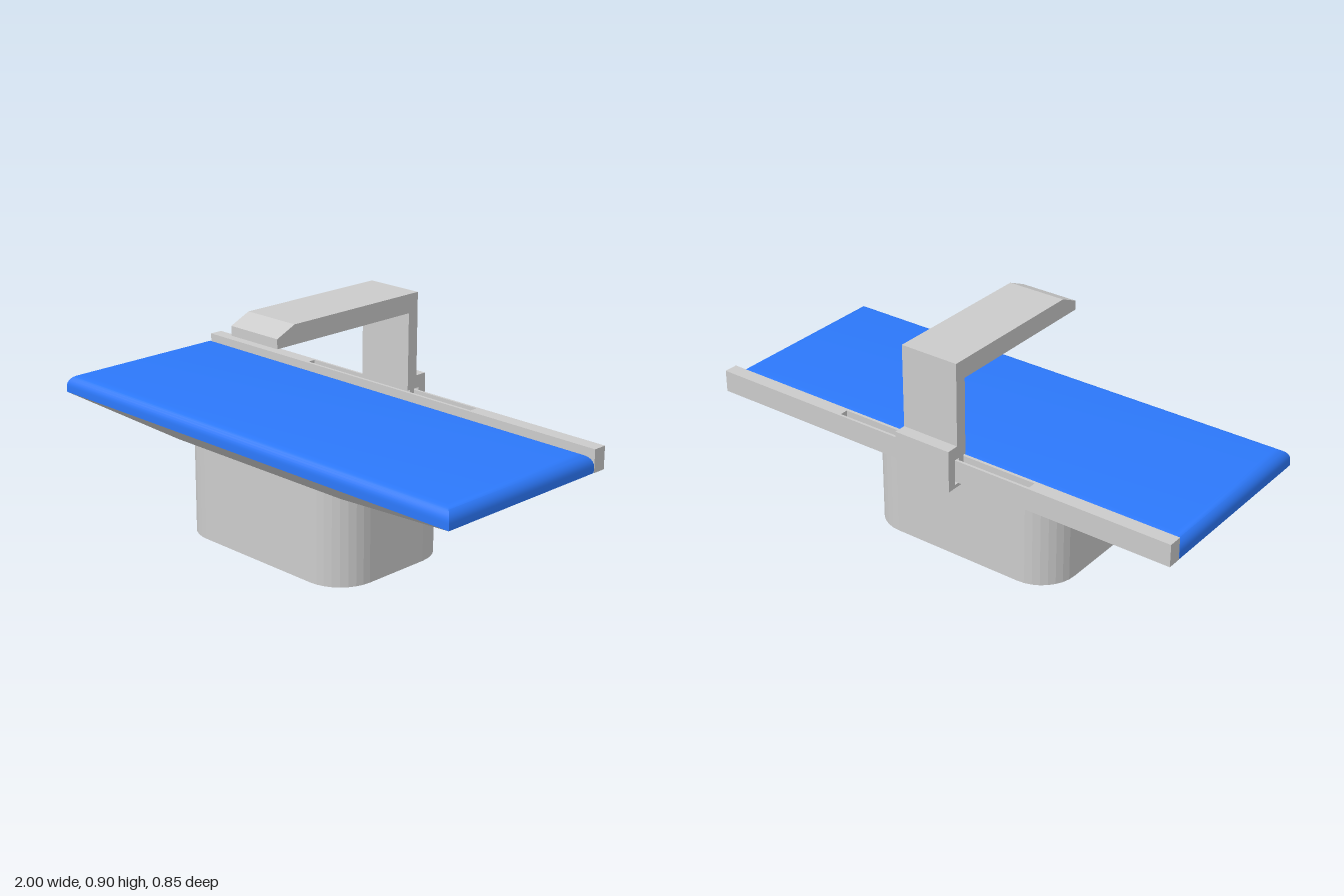
import * as THREE from 'three';
import { toCreasedNormals } from 'three/addons/utils/BufferGeometryUtils.js';

const grey = new THREE.MeshStandardMaterial({ color: 0xcccccc });
const blue = new THREE.MeshStandardMaterial({ color: 0x2c78fa });

// Rectangular loft through rings [halfX, zBack, zFront, y], bottom to top, with caps.
function rectLoft(rings, crease) {
  const pos = [], idx = [];
  for (const [x, z0, z1, y] of rings) pos.push(-x, y, z1, x, y, z1, x, y, z0, -x, y, z0);
  for (let r = 0; r < rings.length - 1; r++) {
    for (let i = 0; i < 4; i++) {
      const a = r * 4 + i, b = r * 4 + (i + 1) % 4;
      idx.push(a, b, b + 4, a, b + 4, a + 4);
    }
  }
  const t = (rings.length - 1) * 4;
  idx.push(0, 2, 1, 0, 3, 2, t, t + 1, t + 2, t, t + 2, t + 3);
  const geo = new THREE.BufferGeometry();
  geo.setAttribute('position', new THREE.Float32BufferAttribute(pos, 3));
  geo.setIndex(idx);
  return toCreasedNormals(geo, crease);
}

// Plan outline (x, -z) extruded upwards from y0 to y1.
function extrudeUp(shape, y0, y1) {
  const geo = new THREE.ExtrudeGeometry(shape, { depth: y1 - y0, bevelEnabled: false, curveSegments: 4 });
  return geo.rotateX(-Math.PI / 2).translate(0, y0, 0);
}

const rectPoints = (x, z0, z1) =>
  [[-x, -z1], [x, -z1], [x, -z0], [-x, -z0]].map(([a, b]) => new THREE.Vector2(a, b));

function box(x, y0, y1, z0, z1) {
  return new THREE.BoxGeometry(2 * x, y1 - y0, z1 - z0).translate(0, (y0 + y1) / 2, (z0 + z1) / 2);
}

export function createModel() {
  const model = new THREE.Group();
  model.name = 'table';
  const add = (name, geo, mat = grey, parent = model) => {
    const mesh = new THREE.Mesh(geo, mat);
    mesh.name = name;
    parent.add(mesh);
  };

  // Pedestal: rectangle with faceted round corners
  const hx = 0.43, zb = -0.235, zf = 0.34, r = 0.15;
  const plan = new THREE.Shape();
  plan.absarc(hx - r, -zf + r, r, -Math.PI / 2, 0);
  plan.absarc(hx - r, -zb - r, r, 0, Math.PI / 2);
  plan.absarc(-hx + r, -zb - r, r, Math.PI / 2, Math.PI);
  plan.absarc(-hx + r, -zf + r, r, Math.PI, Math.PI * 1.5);
  plan.closePath();
  add('pedestal', extrudeUp(plan, 0, 0.362));

  // Flared underside between the pedestal and the cushion
  add('underside', rectLoft([[hx, zb, zf, 0.36], [1, -0.322, 0.425, 0.433]], 0.1));

  // Cushion with rounded upper edges
  const rings = [[1, -0.322, 0.425, 0.433]], er = 0.046, steps = 8;
  for (let i = 0; i <= steps; i++) {
    const a = (i / steps) * Math.PI / 2, inset = er * (1 - Math.cos(a));
    rings.push([1 - inset, -0.322 + inset, 0.425 - inset, 0.503 - er + er * Math.sin(a)]);
  }
  add('cushion', rectLoft(rings, 0.7), blue);

  // Rear rail with a long slot in its top
  const rail = new THREE.Group();
  rail.name = 'rearRail';
  model.add(rail);
  const railTop = new THREE.Shape(rectPoints(1, -0.379, -0.324));
  railTop.holes.push(new THREE.Path(rectPoints(0.425, -0.369, -0.336).reverse()));
  add('railBody', box(1, 0.432, 0.475, -0.379, -0.324), grey, rail);
  add('slottedRailTop', extrudeUp(railTop, 0.475, 0.519), grey, rail);

  // Overhanging arm and the clamp that hooks round the rail: side profile (z, y)
  const arm = new THREE.Group();
  arm.name = 'slidingArm';
  model.add(arm);
  const halfWidth = 0.119;
  const profile = [
    [0.339, 0.827], [0.339, 0.863], [0.256, 0.9], [-0.375, 0.9], [-0.375, 0.576],
    [-0.424, 0.576], [-0.424, 0.412], [-0.338, 0.412], [-0.338, 0.426], [-0.388, 0.426],
    [-0.388, 0.526], [-0.328, 0.526], [-0.328, 0.827],
  ].map(([z, y]) => new THREE.Vector2(z, y));
  const armGeo = new THREE.ExtrudeGeometry(new THREE.Shape(profile), { depth: 2 * halfWidth, bevelEnabled: false });
  add('armAndClamp', armGeo.rotateY(-Math.PI / 2).translate(halfWidth, 0, 0), grey, arm);
  add('slotTongue', box(halfWidth, 0.485, 0.527, -0.364, -0.34), grey, arm);

  return model;
}
